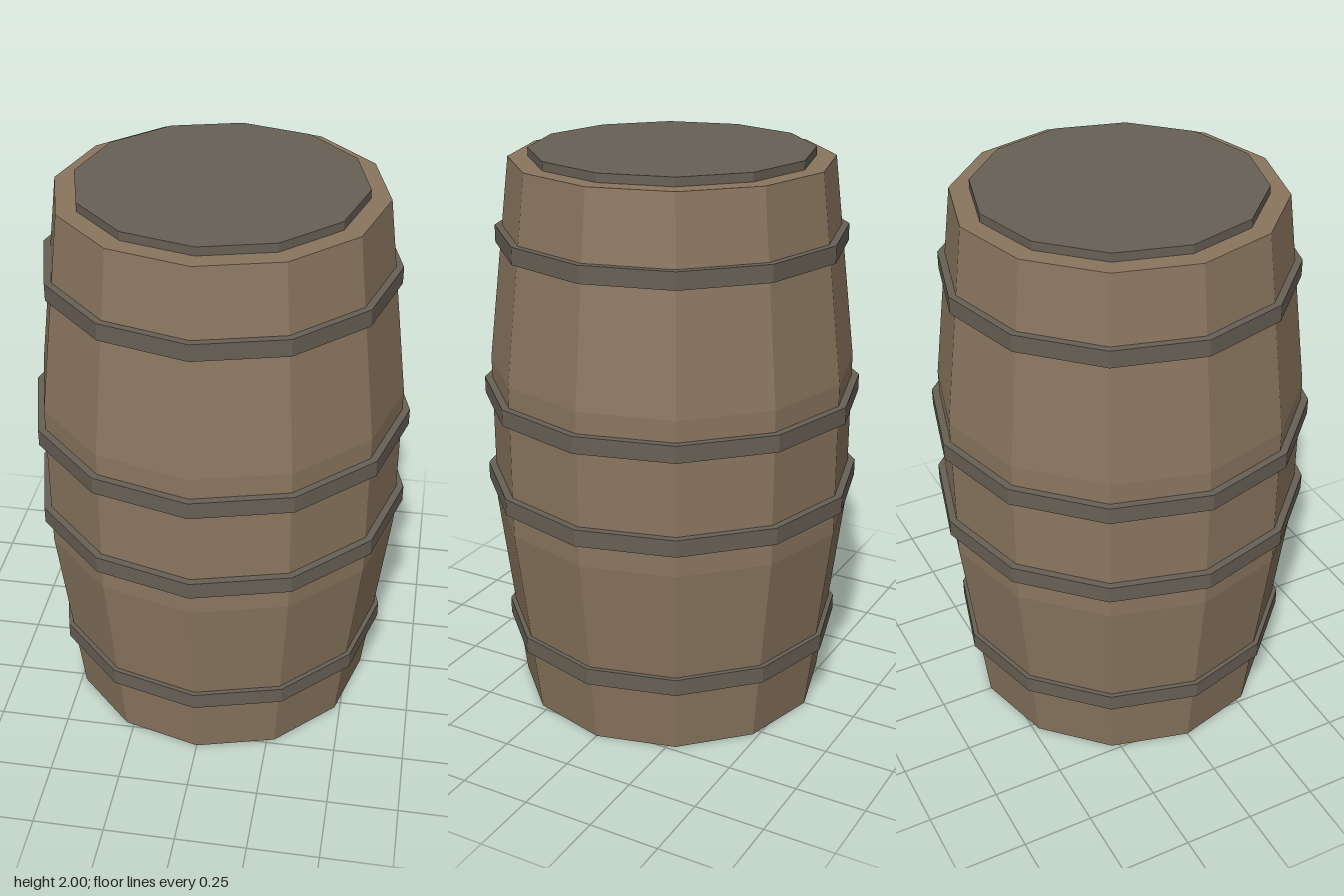
import * as THREE from 'three';

const SIDES = 12;

export function createModel() {
  const wood = new THREE.MeshStandardMaterial({ name: 'wood', color: 0x8a765f, flatShading: true });
  const metal = new THREE.MeshStandardMaterial({ name: 'dark metal', color: 0x686055, flatShading: true });
  const barrel = new THREE.Group();
  barrel.name = 'barrel';

  const add = (name, geometry, material, y = 0) => {
    const mesh = new THREE.Mesh(geometry, material);
    mesh.name = name;
    mesh.position.y = y;
    barrel.add(mesh);
  };

  // Bulging wooden body, closed at both ends
  const profile = [[0, 0], [0.555, 0], [0.64, 0.71], [0.64, 1.26], [0.555, 1.97], [0, 1.97]]
    .map(([r, y]) => new THREE.Vector2(r, y));
  add('body', new THREE.LatheGeometry(profile, SIDES), wood);

  // Raised lid
  add('lid', new THREE.CylinderGeometry(0.487, 0.487, 0.03, SIDES), metal, 1.985);

  // Hoops, as closed rings reaching just inside the body
  const hoops = [['lowerHoop', 0.27, 0.608], ['lowerMiddleHoop', 0.825, 0.666],
    ['upperMiddleHoop', 1.155, 0.666], ['upperHoop', 1.705, 0.608]];
  for (const [name, y, r] of hoops) {
    const inner = r - 0.05;
    const section = [[inner, -0.03], [r, -0.03], [r, 0.03], [inner, 0.03], [inner, -0.03]]
      .map(([x, h]) => new THREE.Vector2(x, h));
    add(name, new THREE.LatheGeometry(section, SIDES), metal, y);
  }
  return barrel;
}
